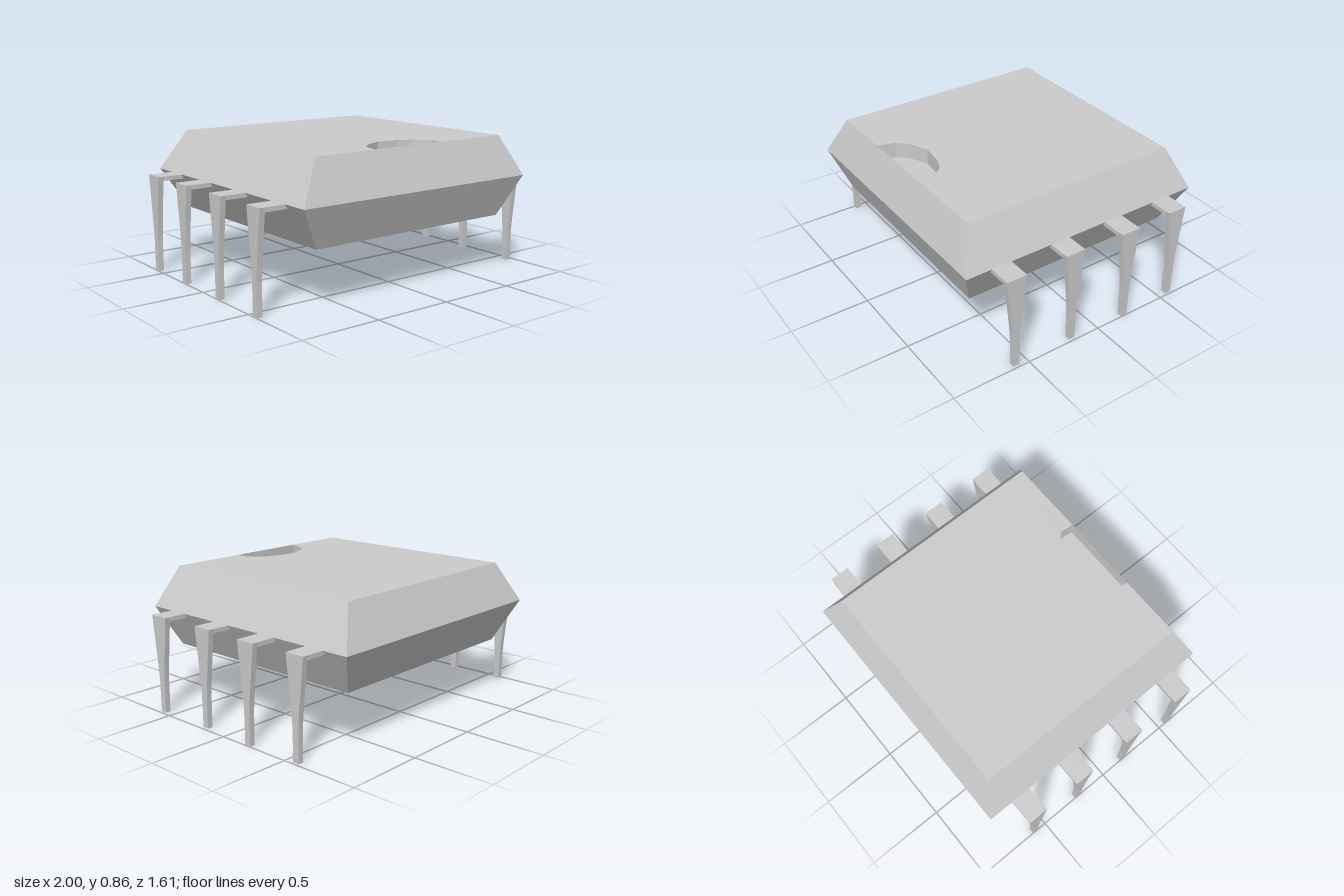
import * as THREE from 'three';

const grey = (side = THREE.FrontSide) =>
  new THREE.MeshStandardMaterial({ color: 0xcccccc, flatShading: true, side });

// Rectangular cross-section: counter-clockwise seen from above
const ring = (x0, x1, z0, z1, y) => [[x0, y, z1], [x1, y, z1], [x1, y, z0], [x0, y, z0]];

// Quads between two closed loops of points, facing outward when going up
function band(lower, upper) {
  const p = [];
  lower.forEach((a, i) => {
    const j = (i + 1) % lower.length;
    const b = lower[j], c = upper[j], d = upper[i];
    p.push(...a, ...b, ...c, ...a, ...c, ...d);
  });
  const g = new THREE.BufferGeometry();
  g.setAttribute('position', new THREE.Float32BufferAttribute(p, 3));
  g.computeVertexNormals();
  return g;
}

// Flat horizontal face from [x, z] points
function flat(points, y, faceUp = true) {
  const s = new THREE.Shape(points.map(([x, z]) => new THREE.Vector2(x, faceUp ? -z : z)));
  return new THREE.ShapeGeometry(s).rotateX(faceUp ? -Math.PI / 2 : Math.PI / 2).translate(0, y, 0);
}

export function createModel() {
  const model = new THREE.Group();
  const add = (parent, name, geometry, side) => {
    const m = new THREE.Mesh(geometry, grey(side));
    m.name = name;
    parent.add(m);
    return m;
  };

  // Body: two tapered halves meeting at a wide seam
  const body = new THREE.Group();
  body.name = 'body';
  model.add(body);
  const x0 = -0.695, x1 = 0.71, z0 = -0.7, z1 = 0.707;
  const topY = 0.862, seamY = 0.61, bottomY = 0.356;
  const seam = ring(-0.84, 0.84, -0.807, 0.803, seamY);
  add(body, 'upperSides', band(seam, ring(x0, x1, z0, z1, topY)));
  add(body, 'lowerSides', band(ring(x0, x1, z0, z1, bottomY), seam));
  add(body, 'underside', flat([[x0, z0], [x1, z0], [x1, z1], [x0, z1]], bottomY, false));

  // Faceted half-round notch at the front edge of the top
  const notch = [[-0.29, z1], [-0.26, 0.6], [-0.2, 0.535], [-0.08, 0.482],
    [0.06, 0.498], [0.14, 0.53], [0.225, 0.62], [0.218, z1]];
  const notchY = topY - 0.1;
  add(body, 'top', flat([[x0, z1], ...notch, [x1, z1], [x1, z0], [x0, z0]], topY));
  add(body, 'notchFloor', flat(notch, notchY), THREE.DoubleSide);
  const loop = (y) => notch.map(([x, z]) => [x, y, z]);
  add(body, 'notchWall', band(loop(topY), loop(notchY)), THREE.DoubleSide);

  // Pins: a flat tab bent down into a tapering leg
  const halfWidths = [[0, 0.02], [0.2, 0.022], [0.28, 0.028], [0.36, 0.036], [0.61, 0.064]];
  const outline = [
    ...halfWidths.map(([y, w]) => new THREE.Vector2(w, y)),
    ...halfWidths.map(([y, w]) => new THREE.Vector2(-w, y)).reverse(),
  ];
  const thick = 0.035;
  const legGeometry = new THREE.ExtrudeGeometry(new THREE.Shape(outline),
    { depth: thick, bevelEnabled: false }).rotateY(Math.PI / 2);

  function addPin(name, side, reach, z) {
    const pin = new THREE.Group();
    pin.name = name;
    pin.position.z = z;
    const length = reach - thick - 0.81;
    const tab = add(pin, 'tab', new THREE.BoxGeometry(length, 0.026, 0.128));
    tab.position.set(side * (0.81 + length / 2), 0.597, 0);
    const leg = add(pin, 'leg', legGeometry);
    leg.position.x = side > 0 ? reach - thick : -reach;
    model.add(pin);
  }
  [-0.58, -0.222, 0.17, 0.565].forEach((z, i) => addPin(`rightPin${i + 1}`, -1, 1, z));
  [[-0.573, 0.985], [-0.205, 0.997], [0.18, 0.98], [0.577, 0.983]]
    .forEach(([z, reach], i) => addPin(`leftPin${i + 1}`, 1, reach, z));

  return model;
}
